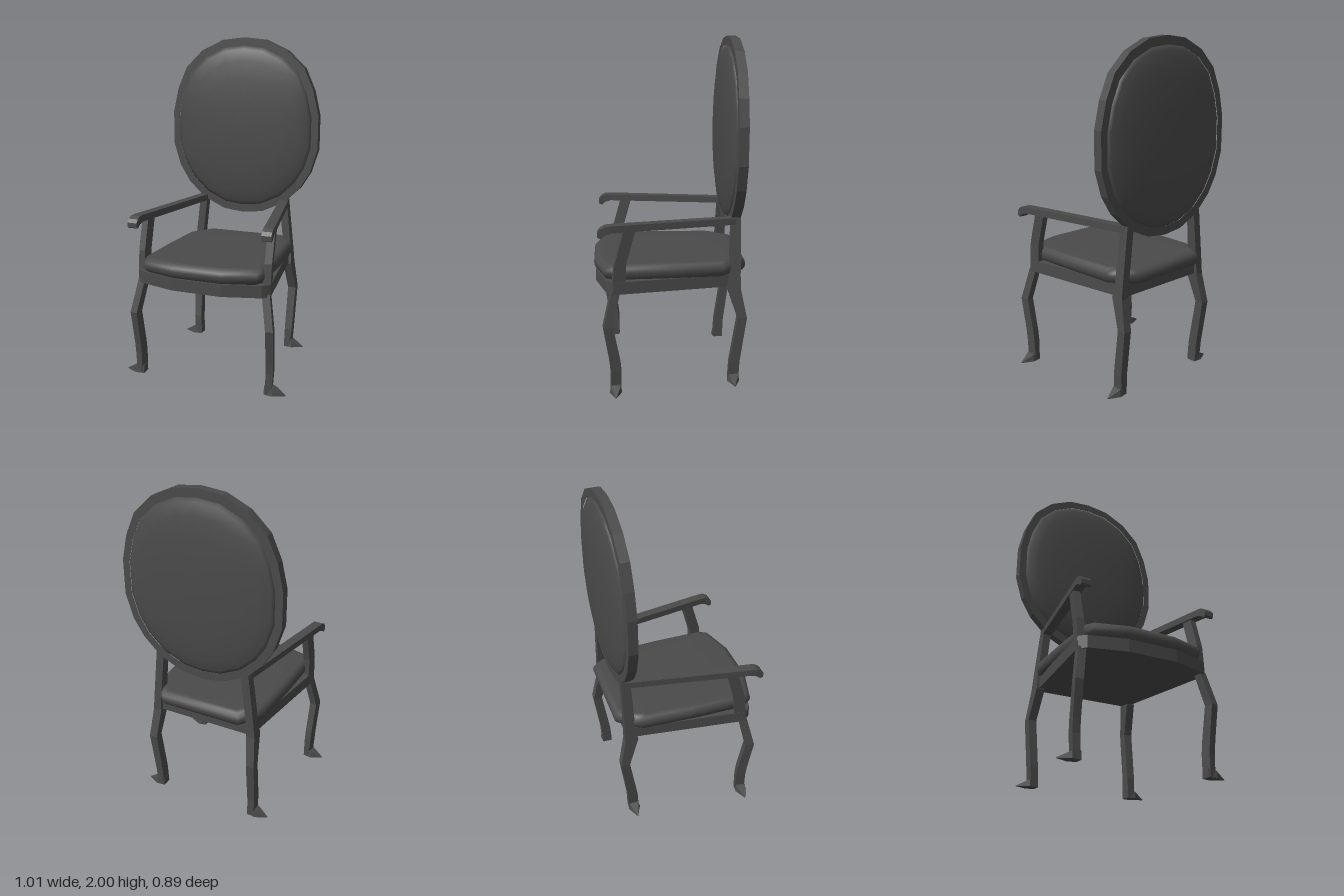
import * as THREE from 'three';

const flat = new THREE.MeshStandardMaterial({ color: 0x4a4a4a, flatShading: true });
const soft = new THREE.MeshStandardMaterial({ color: 0x4a4a4a });

// Closed solid through a list of rings (each a list of [x, y, z]), capped at both ends
function loft(rings) {
  const n = rings[0].length, pos = rings.flat(2), idx = [];
  for (let r = 0; r < rings.length - 1; r++)
    for (let i = 0; i < n; i++) {
      const a = r * n + i, b = r * n + (i + 1) % n;
      idx.push(a, b, b + n, a, b + n, a + n);
    }
  for (const r of [0, rings.length - 1]) {
    const c = pos.length / 3;
    for (let k = 0; k < 3; k++) pos.push(rings[r].reduce((t, p) => t + p[k], 0) / n);
    for (let i = 0; i < n; i++) {
      const a = r * n + i, b = r * n + (i + 1) % n;
      idx.push(...(r ? [a, b, c] : [b, a, c]));
    }
  }
  // Turn the faces outward if the enclosed volume comes out negative
  const v = (i) => new THREE.Vector3().fromArray(pos, i * 3);
  let volume = 0;
  for (let i = 0; i < idx.length; i += 3)
    volume += v(idx[i]).dot(v(idx[i + 1]).cross(v(idx[i + 2])));
  if (volume < 0) idx.reverse();
  const geo = new THREE.BufferGeometry();
  geo.setAttribute('position', new THREE.Float32BufferAttribute(pos, 3));
  geo.setIndex(idx);
  geo.computeVertexNormals();
  return geo;
}

// Complete a half outline, listed from one end of the mirror axis to the other
const mirrorOutline = (half) => [
  ...half,
  ...half.filter((p) => p[0] > 0).reverse().map(([x, y]) => [-x, y]),
];

// Upright bar: rows are [y, x, z, width, depth]
const bar = (rows, side, yaw) => loft(rows.map(([y, x, z, w, d]) =>
  [[-1, -1], [1, -1], [1, 1], [-1, 1]].map(([i, j]) => {
    const u = i * w / 2, t = j * d / 2;
    return [side * (x + u * Math.cos(yaw) + t * Math.sin(yaw)), y,
      z - u * Math.sin(yaw) + t * Math.cos(yaw)];
  })));

export function createModel() {
  const chair = new THREE.Group();
  const add = (name, geo, mat = flat) => {
    const mesh = new THREE.Mesh(geo, mat);
    mesh.name = name;
    chair.add(mesh);
  };

  // Oval backrest: faceted ring with a padded panel domed on both faces
  const oval = mirrorOutline([[0, 2], [0.14, 1.985], [0.28, 1.92], [0.39, 1.815], [0.45, 1.68],
    [0.485, 1.53], [0.485, 1.32], [0.44, 1.175], [0.375, 1.07], [0.27, 0.97], [0.13, 0.905], [0, 0.89]]);
  const cy = 1.445, cz = -0.373;
  const scaled = (s) => oval.map(([x, y]) => new THREE.Vector2(x * s, cy + (y - cy) * s));
  const ring = new THREE.Shape(scaled(1));
  ring.holes.push(new THREE.Path(scaled(0.91)));
  const frame = new THREE.ExtrudeGeometry(ring, { depth: 0.054, bevelEnabled: false });
  frame.translate(0, 0, cz - 0.027);
  add('backFrame', frame);
  const dome = [[0.05, 0.07], [0.3, 0.068], [0.55, 0.062], [0.75, 0.05], [0.87, 0.035], [0.915, 0.02]];
  const layers = [...dome, ...dome.map(([s, z]) => [s, -z]).reverse()];
  add('backPad', loft(layers.map(([s, z]) => scaled(s).map((p) => [p.x, p.y, cz + z]))), soft);

  // Seat base, outline in x and z
  const base = mirrorOutline([[0.15, 0.435], [0.37, 0.375], [0.41, 0.335], [0.315, -0.37], [0.28, -0.385]]);
  add('seatRail', loft([0.585, 0.657].map((y) => base.map(([x, z]) => [x, y, z]))));

  // Cushion with rounded rim
  const pad = mirrorOutline([[0.15, 0.445], [0.345, 0.39], [0.375, 0.34], [0.372, 0.02],
    [0.355, -0.3], [0.335, -0.335], [0.25, -0.44]]);
  const rim = [[0.65, 0.92], [0.66, 0.965], [0.68, 0.993], [0.70, 1], [0.72, 0.99],
    [0.737, 0.955], [0.744, 0.9], [0.746, 0.5]];
  add('seatCushion', loft(rim.map(([y, s]) => pad.map(([x, z]) => [x * s, y, z * s]))), soft);

  for (const side of [1, -1]) {
    const label = side > 0 ? 'left' : 'right';

    // Front leg, bent at the knee
    add(label + 'FrontLeg', bar([[0, 0.405, 0.33, 0.035, 0.06], [0.13, 0.41, 0.328, 0.042, 0.06],
      [0.2, 0.412, 0.335, 0.042, 0.06], [0.4, 0.418, 0.37, 0.045, 0.055],
      [0.6, 0.382, 0.325, 0.045, 0.05]], side, 0.15));

    // Arm post, leaning backward
    add(label + 'ArmPost', bar([[0.585, 0.382, 0.308, 0.048, 0.068], [0.657, 0.382, 0.305, 0.045, 0.07],
      [0.77, 0.386, 0.295, 0.042, 0.066], [0.955, 0.386, 0.243, 0.042, 0.066]], side, 0.15));

    // Back leg and post in one piece
    add(label + 'BackLeg', bar([[0, 0.318, -0.368, 0.04, 0.062], [0.12, 0.323, -0.373, 0.046, 0.06],
      [0.4, 0.33, -0.412, 0.05, 0.054], [0.58, 0.313, -0.362, 0.052, 0.078],
      [0.66, 0.308, -0.368, 0.048, 0.064], [0.99, 0.272, -0.373, 0.048, 0.054]], side, 0));

    // Pointed feet turned outward
    for (const [end, x, z] of [['Front', 0.405, 0.33], ['Back', 0.318, -0.368]])
      add(label + end + 'Foot', loft([[-0.022, 0.028, 0.05], [0.03, 0.036, 0.04], [0.1, 0.003, 0.004]]
        .map(([dx, w, h]) => [[-w, 0], [w, 0], [w * 0.8, h], [-w * 0.8, h]]
          .map(([dz, y]) => [side * (x + dx), y, z + dz]))));

    // Armrest with a drooping tip: z, centre x, bottom, top
    add(label + 'Armrest', loft([[-0.375, 0.27, 0.95, 0.988], [0.34, 0.4, 0.95, 0.99],
      [0.375, 0.404, 0.94, 0.988], [0.4, 0.405, 0.92, 0.975], [0.417, 0.405, 0.928, 0.955]]
      .map(([z, x, lo, hi]) => [[-1, lo], [1, lo], [1, hi], [-1, hi]]
        .map(([i, y]) => [side * (x + i * 0.029), y, z]))));
  }
  return chair;
}
